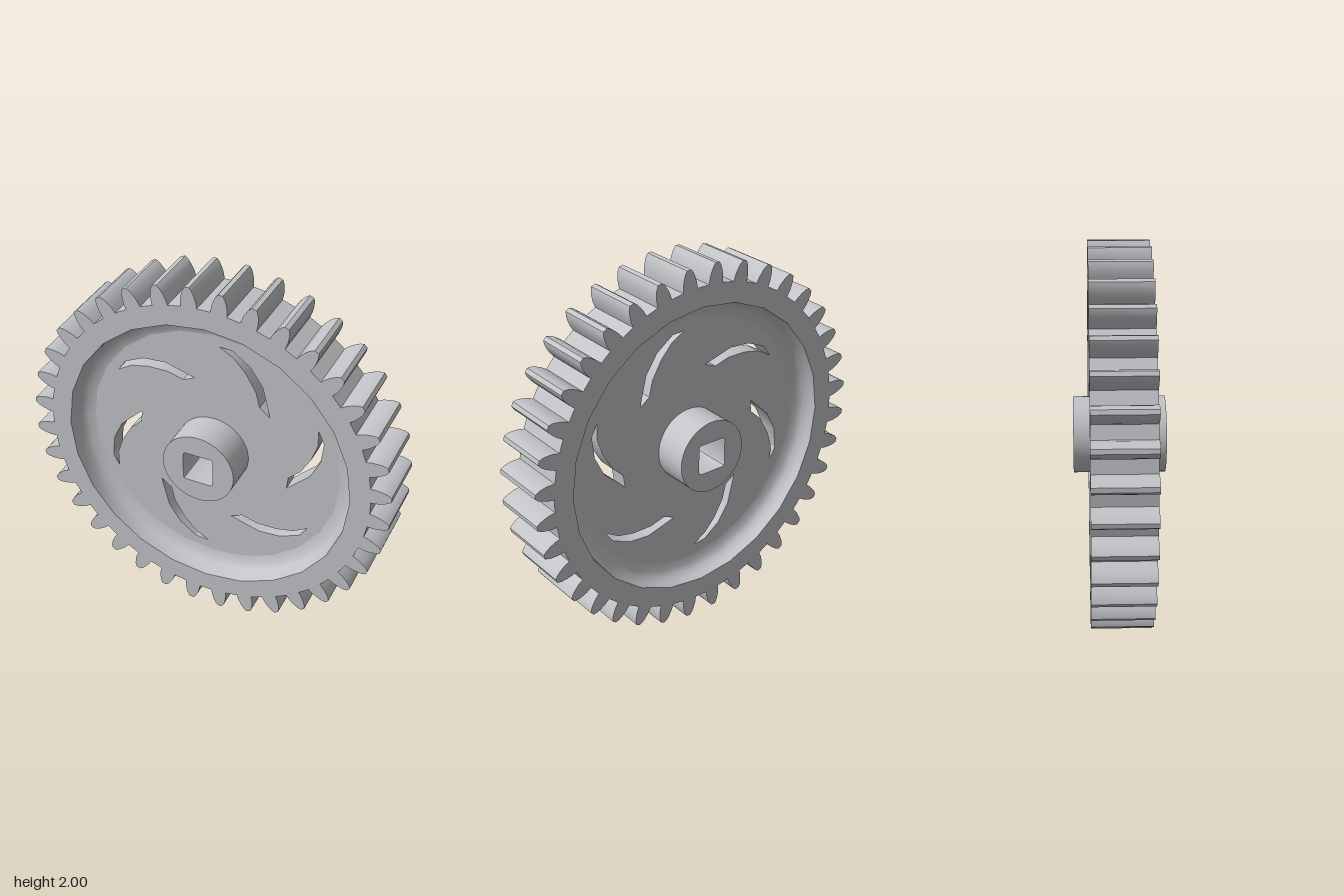
import * as THREE from 'three';
import { mergeGeometries, toCreasedNormals } from 'three/addons/utils/BufferGeometryUtils.js';

const V = (x, y) => new THREE.Vector2(x, y);
const polar = (r, a) => V(r * Math.cos(a), r * Math.sin(a));
const circle = (r, n) => Array.from({ length: n }, (_, i) => polar(r, (i / n) * Math.PI * 2));
const spin = (pts, a) => pts.map((p) => p.clone().rotateAround(V(0, 0), a));

const RIM = 0.157, WEB = 0.05, HUB = 0.237; // half thicknesses
const TEETH = 36, DISH_SIDES = 24;

// flat face at z with holes, facing +z when z > 0 and -z otherwise
function face(outline, holes, z) {
  const shape = new THREE.Shape(outline);
  shape.holes = holes.map((h) => new THREE.Path(h));
  const g = new THREE.ShapeGeometry(shape).translate(0, 0, z);
  if (z < 0) {
    g.setIndex(Array.from(g.index.array).reverse());
    const n = g.attributes.normal;
    for (let i = 0; i < n.count; i++) n.setZ(i, -1);
  }
  return g.toNonIndexed();
}

// closed wall along an outline between two depths; inward for holes
function wall(outline, z0, z1, inward = false) {
  const pts = THREE.ShapeUtils.isClockWise(outline) === inward ? outline : outline.slice().reverse();
  const pos = [];
  pts.forEach((a, i) => {
    const b = pts[(i + 1) % pts.length];
    pos.push(a.x, a.y, z0, b.x, b.y, z0, b.x, b.y, z1);
    pos.push(a.x, a.y, z0, b.x, b.y, z1, a.x, a.y, z1);
  });
  const g = new THREE.BufferGeometry();
  g.setAttribute('position', new THREE.Float32BufferAttribute(pos, 3));
  g.setAttribute('uv', new THREE.Float32BufferAttribute(new Float32Array((pos.length / 3) * 2), 2));
  return toCreasedNormals(g, 0.5);
}

// tooth outline, one flank mirrored to the other: [radius, half width]
function gearOutline() {
  const flank = [[0.897, 0.043], [0.93, 0.041], [0.96, 0.034], [0.985, 0.025], [1.003, 0.012]];
  const pts = [];
  for (let i = 0; i < TEETH; i++) {
    const a = ((i + 0.5) / TEETH) * Math.PI * 2;
    flank.forEach(([r, h]) => pts.push(polar(r, a - h / r)));
    flank.slice().reverse().forEach(([r, h]) => pts.push(polar(r, a + h / r)));
  }
  return pts;
}

// square shaft hole with slightly rounded corners
function boreOutline() {
  const s = 0.083, c = 0.014, pts = [];
  for (let k = 0; k < 4; k++) {
    pts.push(...spin([V(s, s - c), V(s - c * 0.3, s - c * 0.3), V(s - c, s)], (k * Math.PI) / 2));
  }
  return pts;
}

export function createModel() {
  const group = new THREE.Group();
  const grey = new THREE.MeshStandardMaterial({ color: 0xc3c4c8 });
  grey.name = 'light grey';
  const add = (name, parts) => {
    const mesh = new THREE.Mesh(mergeGeometries(parts), grey);
    mesh.name = name;
    group.add(mesh);
  };

  // toothed rim
  const gear = gearOutline();
  const dish = circle(0.79, DISH_SIDES);
  add('toothedRim', [face(gear, [dish], RIM), face(gear, [dish], -RIM), wall(gear, -RIM, RIM)]);

  // curved transition from rim down to web, both sides
  const profile = [[0.79, RIM], [0.784, 0.115], [0.768, 0.082], [0.742, 0.06], [0.70, WEB]];
  const front = profile.map(([r, z]) => V(r, z));
  const back = profile.map(([r, z]) => V(r, -z)).reverse();
  add('dishFillets', [front, back].map((p) =>
    new THREE.LatheGeometry(p, DISH_SIDES).rotateX(Math.PI / 2).toNonIndexed()));

  // web with six swirling slots
  const slot = [
    V(0.03, 0.64), V(0.105, 0.634), V(0.2, 0.565), V(0.268, 0.465), V(0.31, 0.297),
    V(0.253, 0.34), V(0.232, 0.425), V(0.175, 0.523), V(0.11, 0.595),
  ];
  const slots = Array.from({ length: 6 }, (_, i) => spin(slot, (i * Math.PI) / 3));
  const hub = circle(0.198, 48);
  const web = circle(0.70, DISH_SIDES);
  add('web', [
    face(web, [hub, ...slots], WEB),
    face(web, [hub, ...slots], -WEB),
    ...slots.map((s) => wall(s, -WEB, WEB, true)),
  ]);

  // hub with square bore
  const bore = boreOutline();
  add('hub', [
    face(hub, [bore], HUB),
    face(hub, [bore], -HUB),
    wall(hub, WEB, HUB),
    wall(hub, -HUB, -WEB),
    wall(bore, -HUB, HUB, true),
  ]);

  group.position.y = 1;
  return group;
}
